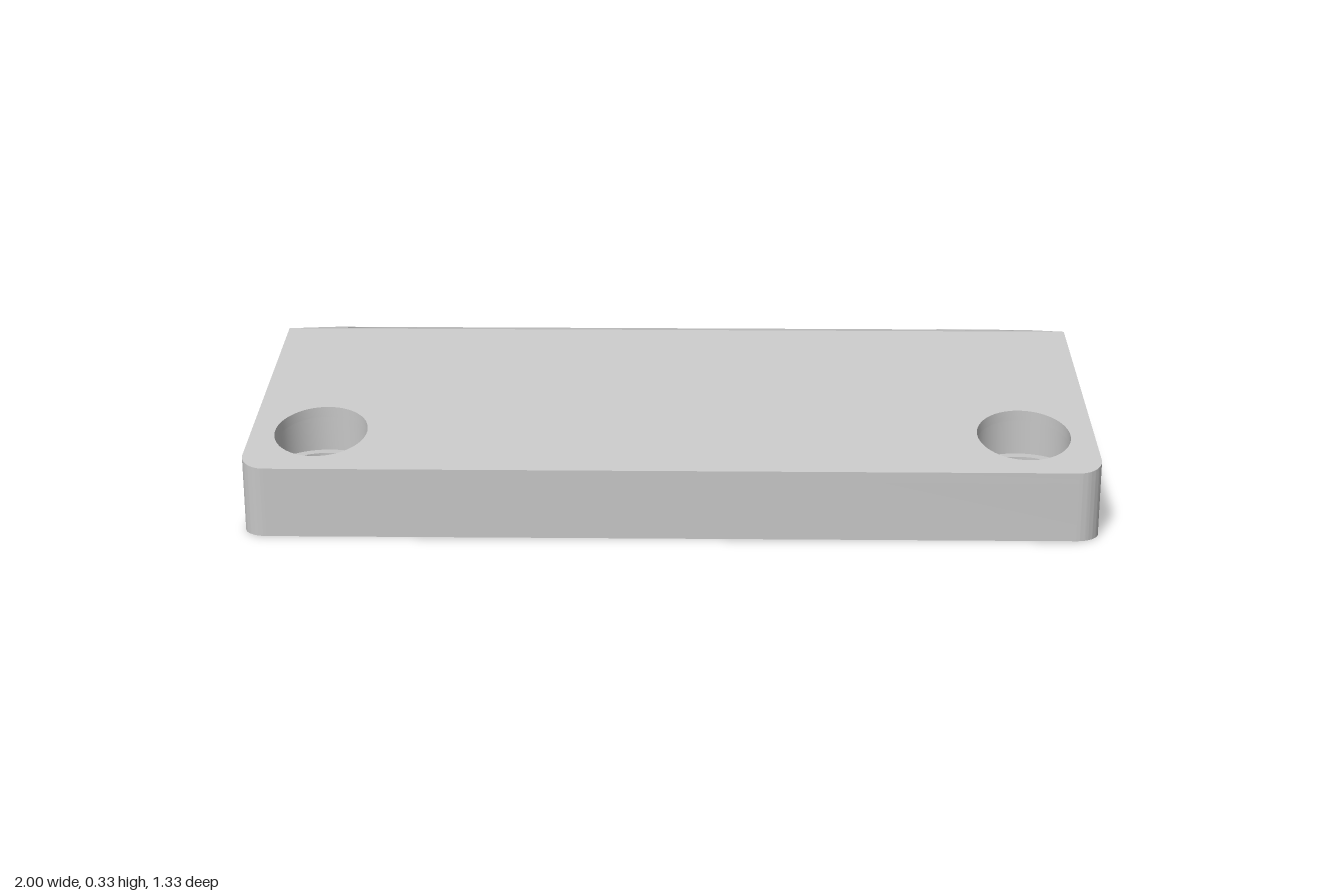
import * as THREE from 'three';
import { toCreasedNormals } from 'three/addons/utils/BufferGeometryUtils.js';

const W = 1, D = 0.665, R = 0.06;      // half width, half depth, corner radius
const T = 0.025, WALL = 0.035;         // roof and wall thickness
const PITCH = 1 / 6;                   // lattice half spacing
const roofTop = z => 0.33 - 0.248 * Math.abs(z);
const roofUnder = z => roofTop(z) - T;

const grey = new THREE.MeshStandardMaterial({ color: 0xc6c6c6 });
grey.name = 'light grey plastic';

function part(name, geo) {
  const mesh = new THREE.Mesh(toCreasedNormals(geo, 0.5), grey);
  mesh.name = name;
  return mesh;
}

// Outline given as (x, z), raised between two height rules of z
function slab(name, shape, low, high) {
  const geo = new THREE.ExtrudeGeometry(shape, { depth: 1, bevelEnabled: false, curveSegments: 28 });
  geo.rotateX(Math.PI / 2);
  const p = geo.attributes.position;
  for (let i = 0; i < p.count; i++) {
    const z = p.getZ(i);
    p.setY(i, p.getY(i) > -0.5 ? high(z) : low(z));
  }
  return part(name, geo);
}

// Outline given as (z, y), extruded along x
function endPlate(name, shape, x0, x1) {
  const geo = new THREE.ExtrudeGeometry(shape, { depth: x1 - x0, bevelEnabled: false, curveSegments: 28 });
  geo.rotateY(Math.PI / 2).translate(x0, 0, 0);
  return part(name, geo);
}

const polygon = pts => new THREE.Shape(pts.map(([x, y]) => new THREE.Vector2(x, y)));

function circle(x, y, r) {
  const path = new THREE.Path();
  path.absarc(x, y, r, 0, Math.PI * 2, true);
  return path;
}

function ring(x, y, outer, inner) {
  const s = new THREE.Shape();
  s.absarc(x, y, outer, 0, Math.PI * 2, false);
  s.holes.push(circle(x, y, inner));
  return s;
}

// Straight strip between two points
function bar(ax, ay, bx, by, w) {
  const l = Math.hypot(bx - ax, by - ay);
  const nx = -(by - ay) / l * w / 2, ny = (bx - ax) / l * w / 2;
  return polygon([[ax - nx, ay - ny], [bx - nx, by - ny], [bx + nx, by + ny], [ax + nx, ay + ny]]);
}

const level = y => () => y;

// One half of the case: roof slope, outer wall and two screw bosses
function makeHalf() {
  const half = new THREE.Group();
  half.name = 'caseHalf';
  const bosses = [[-5 * PITCH, 3 * PITCH], [5 * PITCH, 3 * PITCH]];

  const roof = polygon([[-W, 0], [W, 0]]);
  roof.lineTo(W, D - R);
  roof.absarc(W - R, D - R, R, 0, Math.PI / 2, false);
  roof.lineTo(-W + R, D);
  roof.absarc(-W + R, D - R, R, Math.PI / 2, Math.PI, false);
  roof.lineTo(-W, 0);
  for (const [x, z] of bosses) roof.holes.push(circle(x, z, 0.11));
  half.add(slab('roofSlope', roof, roofUnder, roofTop));

  // Wall wraps both corners and ends in the cheeks of the end pockets
  const wall = polygon([[0.87, 0.305], [W, 0.305]]);
  wall.lineTo(W, D - R);
  wall.absarc(W - R, D - R, R, 0, Math.PI / 2, false);
  wall.lineTo(-W + R, D);
  wall.absarc(-W + R, D - R, R, Math.PI / 2, Math.PI, false);
  const xi = W - WALL, zi = D - WALL;
  for (const [x, z] of [[-W, 0.305], [-0.87, 0.305], [-0.87, 0.33], [-xi, 0.33], [-xi, zi - 0.025],
    [-xi + 0.025, zi], [xi - 0.025, zi], [xi, zi - 0.025], [xi, 0.33], [0.87, 0.33]]) wall.lineTo(x, z);
  half.add(slab('outerWall', wall, level(0), roofUnder));

  for (const [x, z] of bosses) {
    const s = Math.sign(x);
    half.add(slab('screwCup', ring(x, z, 0.13, 0.11), level(0.09), roofUnder));
    half.add(slab('screwSeat', ring(x, z, 0.112, 0.083), level(0.09), level(0.125)));
    half.add(slab('screwTube', ring(x, z, 0.09, 0.055), level(0), level(0.1)));
    half.add(slab('bossFin', bar(x + s * 0.085, z, s * xi, z, 0.025), level(0.015), level(0.15)));
    half.add(slab('bossFin', bar(x, z + 0.085, x, zi, 0.025), level(0.015), level(0.15)));
    half.add(slab('bossFin', bar(x - s * 0.085, z, x - s * 0.13, z, 0.025), level(0.04), level(0.1)));
    half.add(slab('bossFin', bar(x, z - 0.085, x, z - 0.13, 0.025), level(0.04), level(0.1)));
  }
  return half;
}

// Recessed end with two cable tubes and braces
function makeEnd() {
  const end = new THREE.Group();
  end.name = 'endPocket';
  const c = PITCH, front = 0.99, back = 0.895;
  const wall = polygon([[-0.305, 0], [0.305, 0], [0.305, roofUnder(0.305)], [0, roofUnder(0)], [-0.305, roofUnder(0.305)]]);
  for (const s of [-1, 1]) wall.holes.push(circle(s * c, 0.165, 0.056));
  end.add(endPlate('pocketBack', wall, 0.87, back));
  end.add(endPlate('pocketSill', polygon([[-0.305, 0], [0.305, 0], [0.305, 0.03], [-0.305, 0.03]]), back, W));
  end.add(endPlate('centreBrace', bar(-c + 0.08, 0.165, c - 0.08, 0.165, 0.025), back, front));
  for (const s of [-1, 1]) {
    end.add(endPlate('cableTube', ring(s * c, 0.165, 0.083, 0.056), back, front));
    end.add(endPlate('sideBrace', bar(s * (c + 0.08), 0.165, s * 0.305, 0.165, 0.025), back, front));
    end.add(endPlate('lowerBrace', bar(s * (c - 0.055), 0.11, s * 0.025, 0.023, 0.025), back, front));
    end.add(endPlate('upperBrace', bar(s * (c + 0.055), 0.22, s * 0.245, 0.243, 0.02), back, front));
  }
  return end;
}

// Stiffening rings and ribs under the roof
function makeLattice() {
  const lattice = new THREE.Group();
  lattice.name = 'roofLattice';
  const low = z => roofUnder(z) - 0.028;
  const isBoss = (i, j) => Math.abs(i) === 5 && Math.abs(j) === 3;
  const clear = (i, j) => isBoss(i, j) ? 0.12 : Math.abs(j) === 4 ? 0.05 : Math.abs(i) === 5 ? 0 : 0.075;
  const inside = (i, j) => Math.abs(i) <= (Math.abs(j) === 4 ? 4 : 5) && Math.abs(j) <= 4;
  for (let j = -4; j <= 4; j++) {
    for (let i = -5; i <= 5; i++) {
      if ((i + j) % 2 || !inside(i, j)) continue;
      const x = i * PITCH, z = j * PITCH;
      if (Math.abs(i) < 5 && Math.abs(j) < 4)
        lattice.add(slab('latticeRing', ring(x, z, 0.083, 0.06), low, roofUnder));
      for (const [di, dj] of [[2, 0], [1, 1], [-1, 1]]) {
        const k = i + di, m = j + dj;
        if (!inside(k, m) || (dj === 0 && Math.abs(j) === 4)) continue;
        const l = Math.hypot(di, dj) * PITCH;
        const a = clear(i, j) / l, b = 1 - clear(k, m) / l;
        lattice.add(slab('latticeRib', bar(x + di * PITCH * a, z + dj * PITCH * a,
          x + di * PITCH * b, z + dj * PITCH * b, 0.024), low, roofUnder));
      }
    }
  }
  return lattice;
}

export function createModel() {
  const model = new THREE.Group();
  model.name = 'rampPlate';
  for (const turn of [0, Math.PI]) {
    for (const piece of [makeHalf(), makeEnd()]) {
      piece.rotation.y = turn;
      model.add(piece);
    }
  }
  model.add(makeLattice());
  return model;
}
